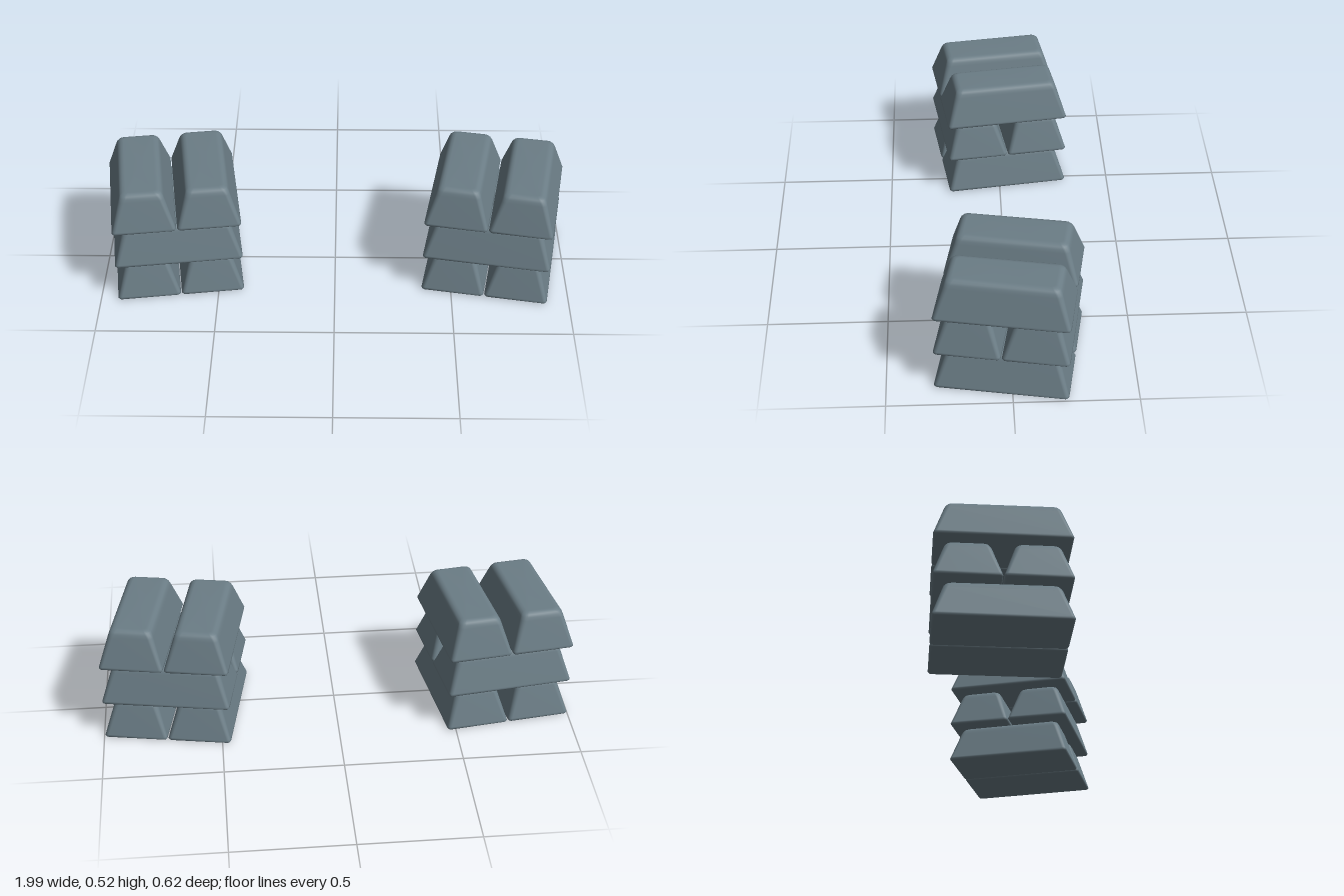
import * as THREE from 'three';

const LENGTH = 0.54, WIDTH = 0.268, PITCH = 0.1735;

// Bar cross-sections from bottom to top: [inset, height, corner radius]
const SECTIONS = [
  [0.013, 0, 0.008], [0.004, 0.002, 0.012], [0, 0.008, 0.015],
  [0.002, 0.015, 0.016], [0.039, 0.138, 0.022], [0.044, 0.152, 0.024],
  [0.050, 0.161, 0.024], [0.060, 0.167, 0.02], [0.072, 0.169, 0.014],
];
const ARC = 4; // segments per rounded corner

// Tapered bar with softened edges, long side along z
function barGeometry() {
  const positions = [], index = [];
  const n = 4 * (ARC + 1);
  for (const [inset, y, r] of SECTIONS) {
    for (let corner = 0; corner < 4; corner++) {
      const sx = corner === 0 || corner === 3 ? 1 : -1;
      const sz = corner < 2 ? 1 : -1;
      for (let k = 0; k <= ARC; k++) {
        const a = (corner + k / ARC) * Math.PI / 2;
        positions.push(
          sx * (WIDTH / 2 - inset - r) + r * Math.cos(a), y,
          sz * (LENGTH / 2 - inset - r) + r * Math.sin(a));
      }
    }
  }
  const last = (SECTIONS.length - 1) * n;
  const bottom = SECTIONS.length * n, top = bottom + 1;
  positions.push(0, 0, 0, 0, SECTIONS[SECTIONS.length - 1][1], 0);
  for (let i = 0; i < n; i++) {
    const j = (i + 1) % n;
    for (let s = 0; s < last; s += n) {
      index.push(s + i, s + n + i, s + n + j, s + i, s + n + j, s + j);
    }
    index.push(bottom, i, j, top, last + j, last + i);
  }
  const g = new THREE.BufferGeometry();
  g.setAttribute('position', new THREE.Float32BufferAttribute(positions, 3));
  g.setIndex(index);
  g.computeVertexNormals();
  return g;
}

export function createModel() {
  const model = new THREE.Group();
  model.name = 'ingotStacks';
  const steel = new THREE.MeshStandardMaterial({ color: 0x6b7d86 });
  steel.name = 'blue grey metal';
  const geometry = barGeometry();

  // Three layers of two bars, each layer crossing the one below
  function addStack(name, x, degrees) {
    const stack = new THREE.Group();
    stack.name = name;
    for (let level = 0; level < 3; level++) {
      const layer = new THREE.Group();
      layer.name = `layer${level + 1}`;
      layer.position.y = level * PITCH;
      layer.rotation.y = level % 2 ? Math.PI / 2 : 0;
      for (const side of [-1, 1]) {
        const bar = new THREE.Mesh(geometry, steel);
        bar.name = 'ingot';
        bar.position.x = side * 0.136;
        layer.add(bar);
      }
      stack.add(layer);
    }
    stack.position.x = x;
    stack.rotation.y = THREE.MathUtils.degToRad(degrees);
    model.add(stack);
  }
  addStack('rightStack', -0.695, 8);
  addStack('leftStack', 0.685, -10);
  return model;
}
